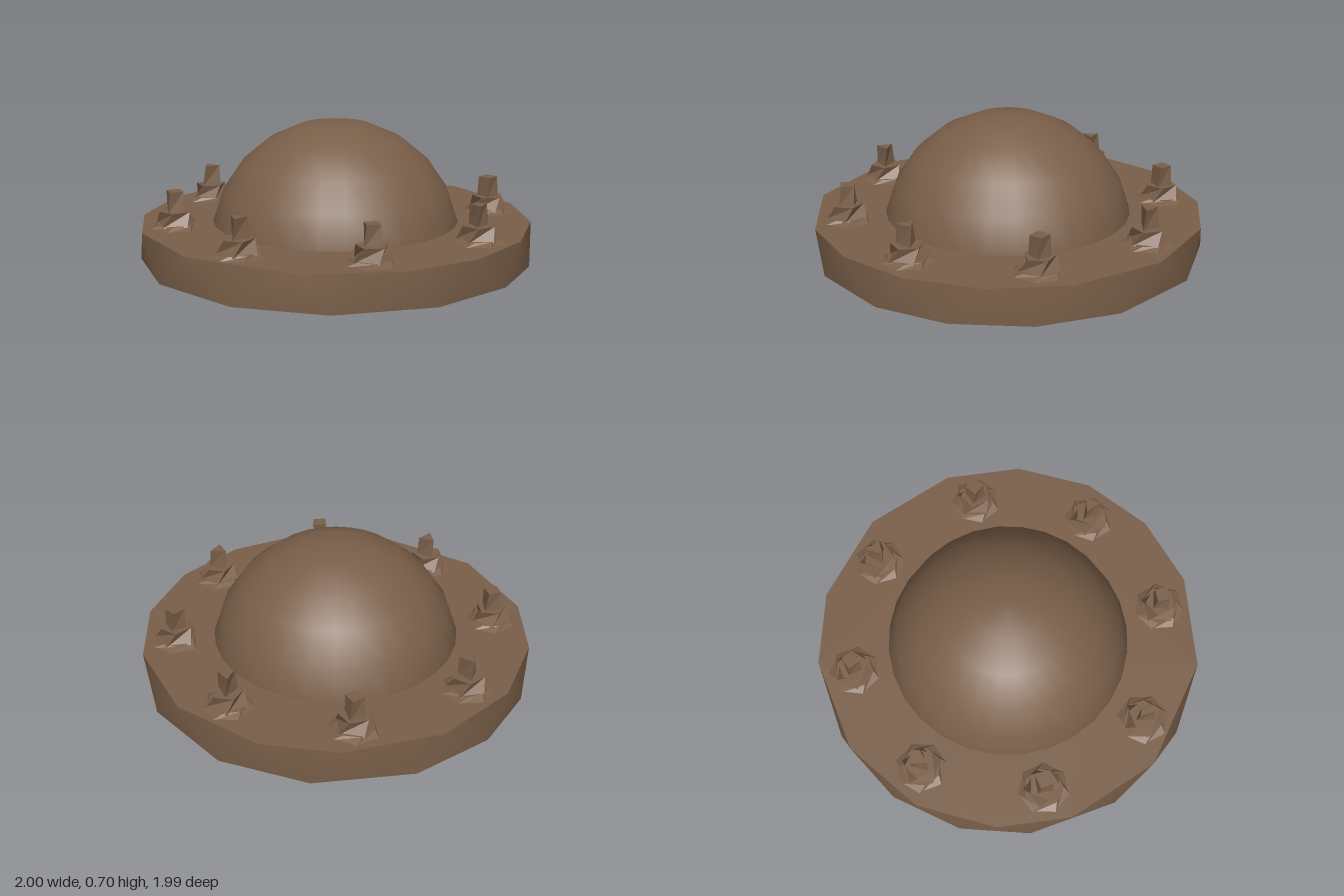
import * as THREE from 'three';

const brown = new THREE.MeshStandardMaterial({ color: 0x7a5f49 });
const facetedBrown = brown.clone();
brown.name = 'brown';
facetedBrown.name = 'brown faceted';
facetedBrown.flatShading = true;
brown.side = THREE.DoubleSide;

const PLATE_H = 0.187;

// Points on a circle in the ground plane, from angles in degrees (+x towards +z)
const ring = (angles, r) => angles.map((a) => {
  const t = THREE.MathUtils.degToRad(a);
  return new THREE.Vector2(r * Math.cos(t), r * Math.sin(t));
});

function addMesh(parent, name, geometry, material) {
  const mesh = new THREE.Mesh(geometry, material);
  mesh.name = name;
  parent.add(mesh);
  return mesh;
}

// Flat cap with a hole, lying in the ground plane and facing up or down
function capGeometry(outer, hole, up) {
  const flip = (pts) => pts.map((p) => new THREE.Vector2(p.x, up ? -p.y : p.y));
  const shape = new THREE.Shape(flip(outer));
  shape.holes.push(new THREE.Path(flip(hole)));
  return new THREE.ShapeGeometry(shape).rotateX(up ? -Math.PI / 2 : Math.PI / 2);
}

// Band of triangles between two interleaved rings
function bandGeometry(low, high, y0, y1) {
  const n = low.length, pos = [], idx = [];
  low.forEach((p) => pos.push(p.x, y0, p.y));
  high.forEach((p) => pos.push(p.x, y1, p.y));
  for (let i = 0; i < n; i++) {
    const j = (i + 1) % n;
    idx.push(i, n + i, j, n + i, n + j, j);
  }
  const g = new THREE.BufferGeometry();
  g.setAttribute('position', new THREE.Float32BufferAttribute(pos, 3));
  g.setIndex(idx);
  g.computeVertexNormals();
  return g;
}

// Tapered prism standing on y0, its top ring twisted against its bottom ring
function twistedPrism(rLow, rHigh, y0, y1, sides, twist) {
  const h = y1 - y0;
  const g = new THREE.CylinderGeometry(rHigh, rLow, h, sides, 1);
  const p = g.attributes.position;
  for (let i = 0; i < p.count; i++) {
    if (p.getY(i) < 0) continue;
    const x = p.getX(i), z = p.getZ(i), c = Math.cos(twist), s = Math.sin(twist);
    p.setX(i, x * c + z * s);
    p.setZ(i, z * c - x * s);
  }
  return g.translate(0, y0 + h / 2, 0);
}

function createBolt(i) {
  const bolt = new THREE.Group();
  bolt.name = 'bolt';
  const washer = addMesh(bolt, 'washer', twistedPrism(0.145, 0.1, PLATE_H - 0.005, 0.205, 7, 0.3), facetedBrown);
  const nut = addMesh(bolt, 'nut', twistedPrism(0.105, 0.08, 0.197, 0.268, 5, 0.5), facetedBrown);
  const shank = addMesh(bolt, 'shank', twistedPrism(0.055, 0.048, 0.26, 0.37, i % 2 ? 4 : 3, 0.25), facetedBrown);
  washer.rotation.y = i * 1.3;
  nut.rotation.y = i * 2.1;
  shank.rotation.y = i * 0.9 + 0.4;
  return bolt;
}

export function createModel() {
  const model = new THREE.Group();
  model.name = 'domed shield boss';

  // Flange plate: irregular fourteen-sided disc, open in the middle
  const low = ring([3, 29, 58, 85, 114, 141, 162, 184, 209, 238, 265, 294, 318, 341], 1);
  const high = ring([16, 38, 66, 100, 129, 151, 175, 201, 230, 252, 280, 308, 331, 354], 1);
  const opening = ring([2, 43, 85, 116, 149, 181, 233, 279, 318], 0.638);
  const seat = ring(Array.from({ length: 24 }, (_, i) => i * 15), 0.615);
  const plate = new THREE.Group();
  plate.name = 'flangePlate';
  addMesh(plate, 'plateRim', bandGeometry(low, high, 0, PLATE_H), brown);
  addMesh(plate, 'plateTop', capGeometry(high, seat, true).translate(0, PLATE_H, 0), brown);
  addMesh(plate, 'plateBottom', capGeometry(low, opening, false), brown);
  model.add(plate);

  // Hollow dome reaching down to the underside
  const R = 0.643, centre = 0.06;
  const sweep = Math.acos(-centre / R);
  const dome = new THREE.SphereGeometry(R, 28, 6, 0, Math.PI * 2, 0, sweep);
  addMesh(model, 'dome', dome.translate(0, centre, 0), brown);

  // Ring of eight bolts
  for (let i = 0; i < 8; i++) {
    const a = (i * Math.PI) / 4;
    const bolt = createBolt(i);
    bolt.position.set(0.82 * Math.cos(a), 0, 0.82 * Math.sin(a));
    model.add(bolt);
  }
  return model;
}
